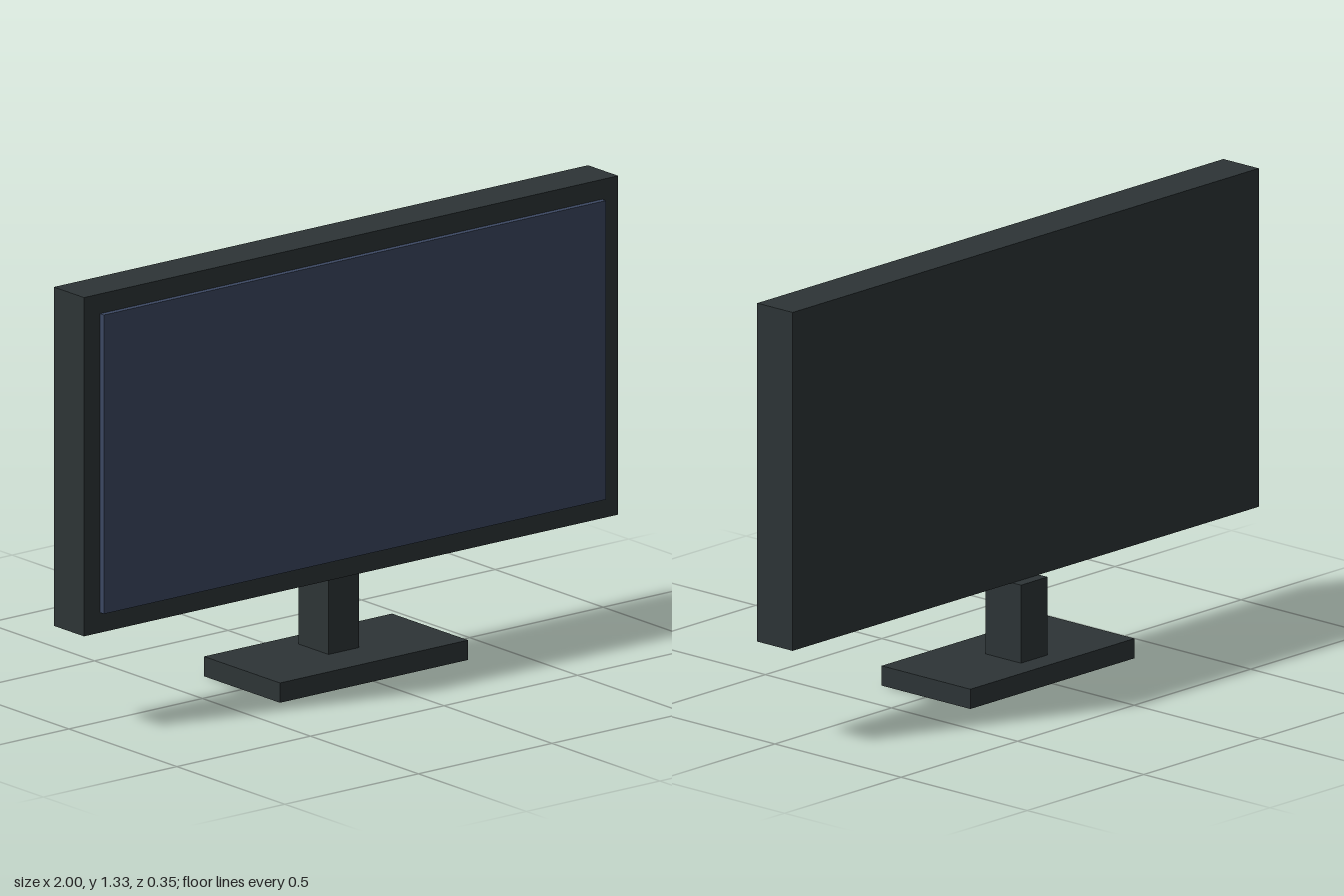
import * as THREE from 'three';

export function createModel() {
  const model = new THREE.Group();
  model.name = 'monitor';

  const casing = new THREE.MeshStandardMaterial({ color: 0x2d3436 });
  casing.name = 'charcoal casing';
  const glass = new THREE.MeshStandardMaterial({ color: 0x3c4862 });
  glass.name = 'slate blue screen';

  // Adds a box centred on x, spanning y0..y1 and z0..z1
  function addBox(name, material, width, [y0, y1], [z0, z1]) {
    const mesh = new THREE.Mesh(new THREE.BoxGeometry(width, y1 - y0, z1 - z0), material);
    mesh.position.set(0, (y0 + y1) / 2, (z0 + z1) / 2);
    mesh.name = name;
    model.add(mesh);
  }

  // Stand
  addBox('base', casing, 0.704, [0, 0.06], [-0.176, 0.176]);
  addBox('neck', casing, 0.114, [0.06, 0.297], [-0.104, 0.036]);

  // Display housing with the screen standing slightly proud of it
  addBox('housing', casing, 2, [0.297, 1.325], [-0.07, 0.07]);
  addBox('screen', glass, 1.88, [0.358, 1.265], [0.07, 0.088]);

  return model;
}
